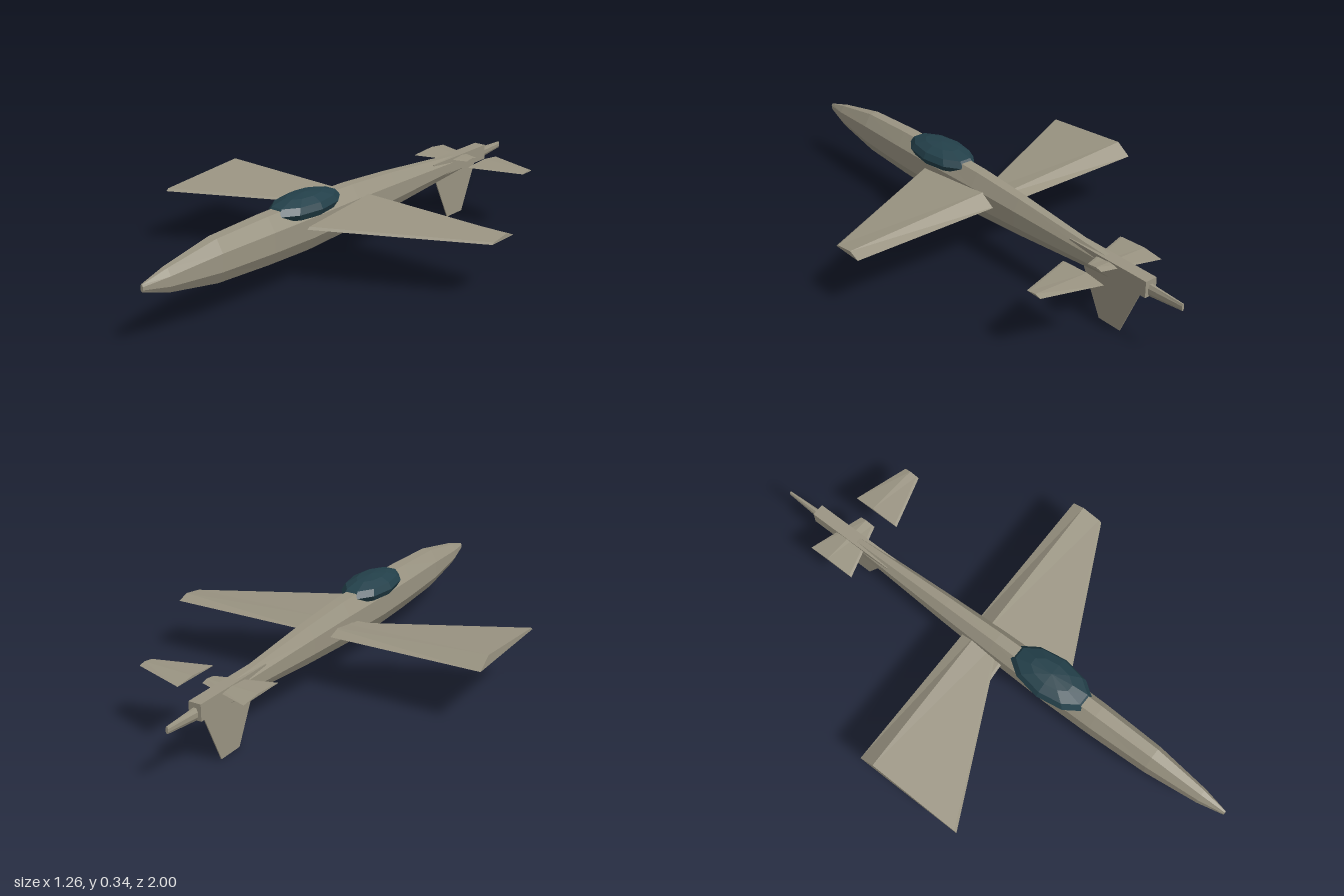
import * as THREE from 'three';

// Skin a list of equal-length rings and close both ends
function loft(rings) {
  const pos = [];
  const tri = (...pts) => pts.forEach((p) => pos.push(...p));
  const n = rings[0].length;
  for (let i = 0; i < rings.length - 1; i++) {
    for (let j = 0; j < n; j++) {
      const k = (j + 1) % n;
      const a = rings[i][j], b = rings[i][k], c = rings[i + 1][k], d = rings[i + 1][j];
      tri(a, b, c);
      tri(a, c, d);
    }
  }
  const first = rings[0], last = rings[rings.length - 1];
  for (let j = 1; j < n - 1; j++) {
    tri(first[0], first[j + 1], first[j]);
    tri(last[0], last[j], last[j + 1]);
  }
  const g = new THREE.BufferGeometry();
  g.setAttribute('position', new THREE.Float32BufferAttribute(pos, 3));
  g.computeVertexNormals();
  return g;
}

// Chordwise section of a flying surface: ridge, leading edge, trailing edge
const section = (x, base, top, lip, lead, ridge, trail) => [
  [x, top, ridge], [x, lip, lead - 0.01], [x, base, lead], [x, base, trail],
];

export function createModel() {
  const group = new THREE.Group();
  const paint = new THREE.MeshStandardMaterial({ color: 0x9a9482, flatShading: true });
  const glass = new THREE.MeshStandardMaterial({ color: 0x23404a, flatShading: true });
  const add = (name, geometry, material = paint) => {
    const mesh = new THREE.Mesh(geometry, material);
    mesh.name = name;
    group.add(mesh);
    return mesh;
  };

  // Fuselage: octagonal stations [z, half width, bottom, top]
  const stations = [
    [-1, 0.005, 0.21, 0.235], [-0.86, 0.012, 0.197, 0.24], [-0.6, 0.026, 0.178, 0.262],
    [-0.23, 0.042, 0.15, 0.293], [0, 0.05, 0.137, 0.307], [0.25, 0.055, 0.128, 0.311],
    [0.45, 0.054, 0.133, 0.309], [0.69, 0.046, 0.144, 0.3], [0.9, 0.025, 0.178, 0.262],
    [1, 0.006, 0.21, 0.236],
  ];
  const flat = Math.cos(Math.PI / 8);
  add('fuselage', loft(stations.map(([z, w, low, high]) =>
    Array.from({ length: 8 }, (_, j) => {
      const t = (j + 0.5) * Math.PI / 4;
      return [
        w * Math.cos(t) / flat,
        (low + high) / 2 + (high - low) / 2 * Math.sin(t) / flat,
        z,
      ];
    }))));

  // Canopy: flattened low-poly ellipsoid
  const canopy = add('canopy', new THREE.SphereGeometry(1, 10, 6), glass);
  canopy.scale.set(0.087, 0.046, 0.172);
  canopy.position.set(0, 0.293, 0.24);

  // Both wings share one shape, tapering toward +x
  const wing = loft([
    section(0, 0.222, 0.262, 0.231, 0.313, -0.06, -0.12),
    section(0.63, 0.222, 0.239, 0.228, 0, -0.085, -0.13),
  ]);
  add('leftWing', wing);
  add('rightWing', wing).position.x = -0.63;

  // Small root plate under the right wing
  add('wingRootPlate', loft([
    section(-0.24, 0.221, 0.225, 0.223, 0.07, -0.02, -0.05),
    section(0, 0.221, 0.225, 0.223, 0.05, -0.02, -0.05),
  ]));

  // Tail boom block
  add('tailBlock', new THREE.BoxGeometry(0.048, 0.06, 0.36)).position.set(0, 0.227, -0.68);

  // Tailplanes share one shape, tapering toward +x
  const tailplane = loft([
    section(0, 0.247, 0.256, 0.25, -0.585, -0.7, -0.78),
    section(0.21, 0.247, 0.253, 0.249, -0.65, -0.69, -0.715),
  ]);
  add('leftTailplane', tailplane).position.x = 0.13;
  add('rightTailplane', tailplane).position.x = -0.13;

  // Ventral fin: [y, front z, back z]
  const fin = [[0, -0.635, -0.735], [0.2, -0.535, -0.825]];
  add('ventralFin', loft(fin.map(([y, front, back]) => [
    [-0.002, y, front], [0.002, y, front], [0.002, y, back], [-0.002, y, back],
  ])));

  return group;
}
